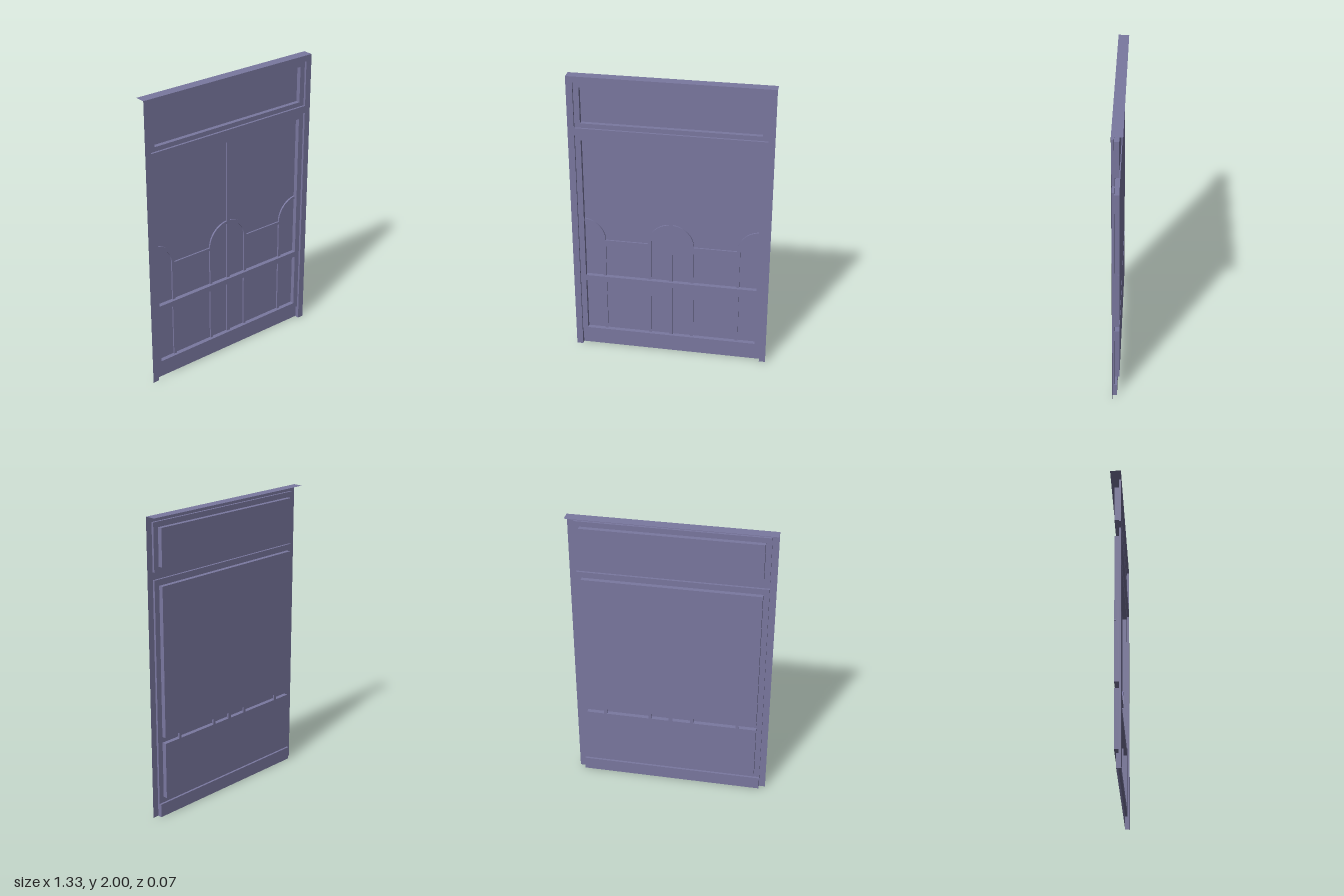
import * as THREE from 'three';

const material = new THREE.MeshStandardMaterial({ color: 0x7a78a0, side: THREE.DoubleSide });

// Depths of the stepped layers
const FRONT = 0.035, SASH = 0.02, SILL = 0.005, BAR = 0.001, GLASS = -0.01, BACK = -0.035;

// Openings as [x0, x1, y0, y1]
const UPPER_OPENING = [-0.622, 0.622, 1.65, 1.96];
const LOWER_OPENING = [-0.622, 0.622, 0.09, 1.6];
const PANES = {
  transom: [-0.585, 0.585, 1.68, 1.925],
  main: [-0.585, 0.585, 0.555, 1.56],
  bottom: [-0.585, 0.585, 0.13, 0.515],
};

function polygon(points, Type = THREE.Shape) {
  return new Type(points.map(([x, y]) => new THREE.Vector2(x, y)));
}

function rect([x0, x1, y0, y1], Type) {
  return polygon([[x0, y0], [x1, y0], [x1, y1], [x0, y1]], Type);
}

export function createModel() {
  const model = new THREE.Group();

  function add(name, geometry, parent = model) {
    const mesh = new THREE.Mesh(geometry, material);
    mesh.name = name;
    parent.add(mesh);
    return mesh;
  }

  // Flat sheet with rectangular openings
  function sheet(name, shape, z, holes = []) {
    shape.holes = holes.map((h) => rect(h, THREE.Path));
    return add(name, new THREE.ShapeGeometry(shape).translate(0, 0, z));
  }

  // Walls lining an opening between two depths
  function reveal(name, [x0, x1, y0, y1], front, back, sides = ['left', 'right', 'top', 'bottom']) {
    const group = new THREE.Group();
    group.name = name;
    const w = x1 - x0, h = y1 - y0, d = front - back;
    const cx = (x0 + x1) / 2, cy = (y0 + y1) / 2, cz = (front + back) / 2;
    const walls = {
      left: () => new THREE.PlaneGeometry(d, h).rotateY(Math.PI / 2).translate(x0, cy, cz),
      right: () => new THREE.PlaneGeometry(d, h).rotateY(-Math.PI / 2).translate(x1, cy, cz),
      top: () => new THREE.PlaneGeometry(w, d).rotateX(Math.PI / 2).translate(cx, y1, cz),
      bottom: () => new THREE.PlaneGeometry(w, d).rotateX(-Math.PI / 2).translate(cx, y0, cz),
    };
    for (const side of sides) add(`${name} ${side}`, walls[side](), group);
    model.add(group);
  }

  // Outer frame: open at the foot, with a head that reaches back
  const [dx0, dx1, , dTop] = LOWER_OPENING;
  const outline = polygon([
    [-0.665, 0], [dx0, 0], [dx0, dTop], [dx1, dTop], [dx1, 0], [0.665, 0], [0.665, 2], [-0.665, 2],
  ]);
  sheet('outerFrame', outline, FRONT, [UPPER_OPENING]);
  add('frameHead', new THREE.PlaneGeometry(1.33, FRONT - BACK).rotateX(-Math.PI / 2).translate(0, 2, 0));
  reveal('upperJamb', UPPER_OPENING, FRONT, SASH);
  reveal('lowerJamb', LOWER_OPENING, FRONT, SASH, ['left', 'right', 'top']);

  // Recessed sill below the lower sash
  const sill = [dx0, dx1, 0, 0.09];
  sheet('sill', rect(sill), SILL);
  reveal('sillJamb', sill, FRONT, SILL, ['left', 'right']);
  reveal('sashUnderside', sill, SASH, SILL, ['top']);

  // Sashes
  sheet('upperSash', rect(UPPER_OPENING), SASH, [PANES.transom]);
  sheet('lowerSash', rect(LOWER_OPENING), SASH, [PANES.main, PANES.bottom]);

  // Panes sunk behind the sashes
  for (const [name, pane] of Object.entries(PANES)) {
    sheet(`${name}Pane`, rect(pane), GLASS);
    reveal(`${name}PaneReveal`, pane, SASH, GLASS);
  }

  // Glazing bars
  const bars = new THREE.Group();
  bars.name = 'glazingBars';
  model.add(bars);
  const depth = BAR - GLASS;
  function bar(name, shape) {
    const options = { depth, bevelEnabled: false, curveSegments: 20 };
    add(name, new THREE.ExtrudeGeometry(shape, options).translate(0, 0, GLASS), bars);
  }

  // Curved bar of an arch between two angles, 0.02 wide
  const SPRING = 0.83, R = 0.155, r = 0.135;
  function arch(cx, from, to) {
    const shape = new THREE.Shape();
    shape.absarc(cx, SPRING, R, from, to, false);
    shape.absarc(cx, SPRING, r, to, from, true);
    return shape;
  }

  bar('centreBar', rect([-0.013, 0.013, 0.13, 1.56]));
  bar('centreArch', arch(0, 0, Math.PI));
  const clip = Math.acos(0.015 / 0.145); // side arches stop at the sash
  for (const s of [-1, 1]) {
    const side = s > 0 ? 'left' : 'right';
    const uprights = [[0.135, 0.155], [0.445, 0.465]];
    for (const [a, b] of uprights) {
      bar(`${side}Upright`, rect([Math.min(s * a, s * b), Math.max(s * a, s * b), 0.13, SPRING]));
    }
    bar(`${side}CrossBar`, rect([s > 0 ? 0.155 : -0.445, s > 0 ? 0.445 : -0.155, 0.81, SPRING]));
    bar(`${side}Arch`, s > 0 ? arch(0.6, Math.PI - clip, Math.PI) : arch(-0.6, 0, clip));
  }

  return model;
}
